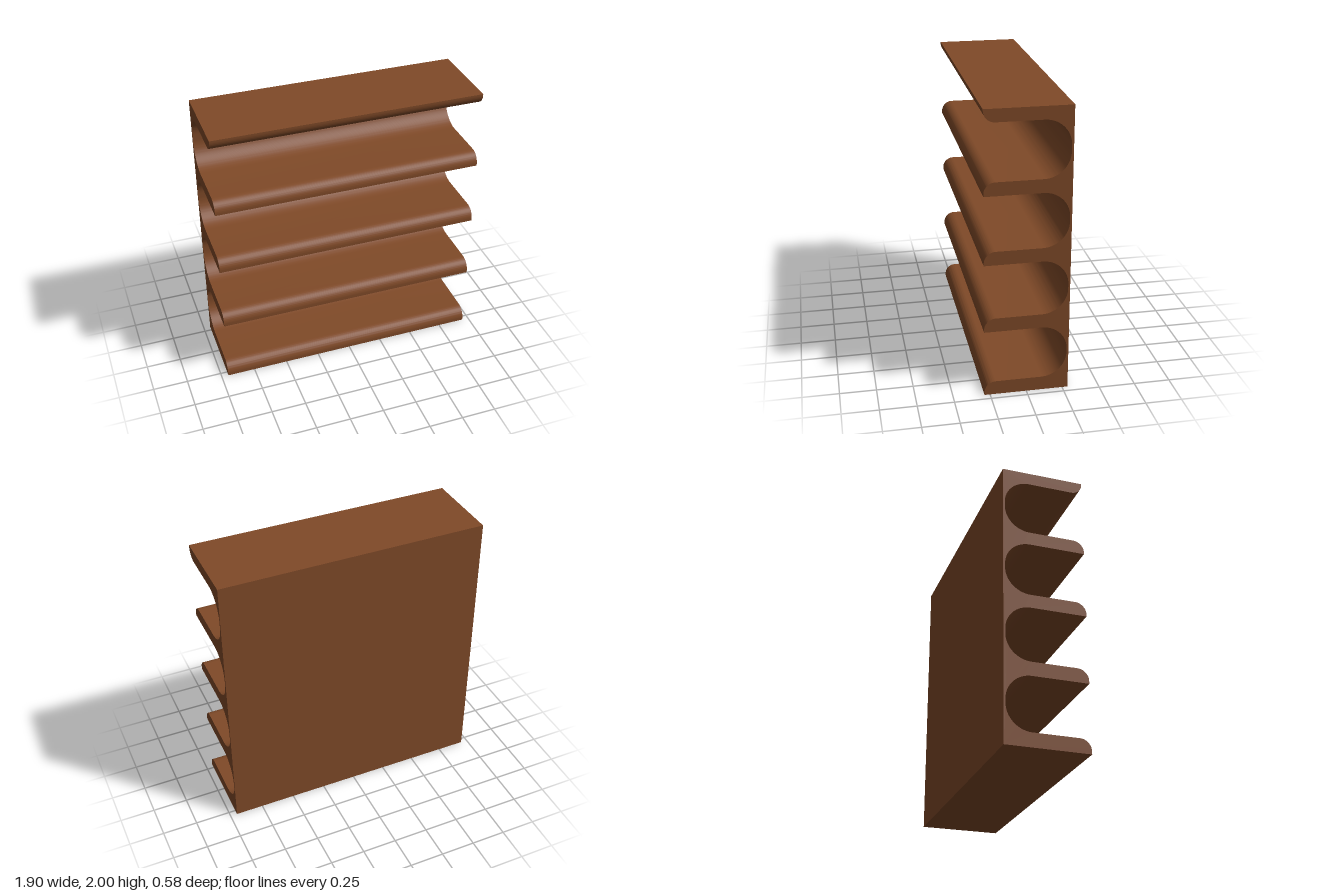
import * as THREE from 'three';
import { toCreasedNormals } from 'three/addons/utils/BufferGeometryUtils.js';

const WIDTH = 1.9, BACK = -0.288, FRONT = 0.288, HEIGHT = 2;
const NOSE = 0.078;                      // rounded front edge of a shelf
const COVE = 0.175, COVE_Z = -0.1;       // hollow behind each shelf
const SHELVES = [[0, 0.098], [0.475, 0.573], [0.957, 1.052], [1.432, 1.525], [1.913, HEIGHT]];

// Side profile: shape x is depth (z), shape y is height
function rackProfile() {
  const s = new THREE.Shape();
  const noseZ = FRONT - NOSE;
  s.moveTo(BACK, 0);
  for (let i = 0; i < SHELVES.length - 1; i++) {
    const [bottom, top] = SHELVES[i];
    const next = SHELVES[i + 1][0];
    // shelf underside edge and rounded upper nose
    s.lineTo(FRONT, bottom);
    s.lineTo(FRONT, top - NOSE);
    s.absarc(noseZ, top - NOSE, NOSE, 0, Math.PI / 2, false);
    // rounded hollow up to the next shelf
    s.lineTo(COVE_Z, top);
    s.absarc(COVE_Z, top + COVE, COVE, -Math.PI / 2, -Math.PI, true);
    s.absarc(COVE_Z, next - COVE, COVE, Math.PI, Math.PI / 2, true);
  }
  // top board, rounded on its lower front edge
  const under = SHELVES[SHELVES.length - 1][0];
  s.lineTo(noseZ, under);
  s.absarc(noseZ, under + NOSE, NOSE, -Math.PI / 2, 0, false);
  s.lineTo(FRONT, HEIGHT);
  s.lineTo(BACK, HEIGHT);
  s.closePath();
  return s;
}

export function createModel() {
  const group = new THREE.Group();
  group.name = 'shelfRack';
  const wood = new THREE.MeshStandardMaterial({ color: 0x804a28 });
  wood.name = 'brown wood';

  // one continuous moulding running across the full width
  const geometry = new THREE.ExtrudeGeometry(rackProfile(), {
    depth: WIDTH, bevelEnabled: false, curveSegments: 16,
  });
  geometry.translate(0, 0, -WIDTH / 2);
  geometry.rotateY(-Math.PI / 2);

  const rack = new THREE.Mesh(toCreasedNormals(geometry, 0.5), wood);
  rack.name = 'covedShelves';
  group.add(rack);
  return group;
}
